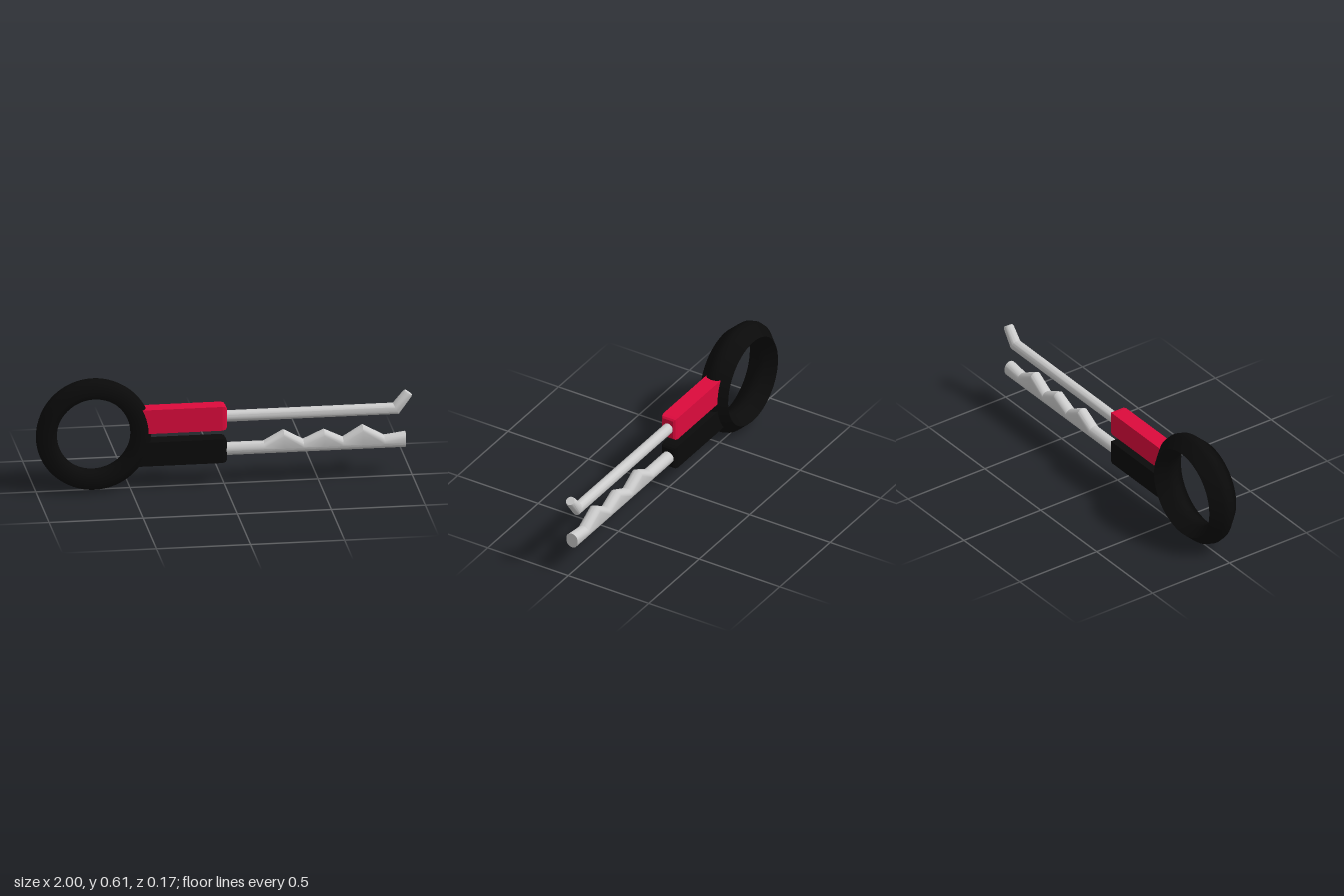
import * as THREE from 'three';
import { toCreasedNormals } from 'three/addons/utils/BufferGeometryUtils.js';

const material = (color) => new THREE.MeshStandardMaterial({ color });

// Loft of upright stadium sections; each station is [bottomX, bottomY, topX, topY, radius]
function loftRod(stations, sides = 24) {
  const pos = [];
  const index = [];
  const n = stations.length;
  for (const [bx, by, tx, ty, r] of stations) {
    const bottom = new THREE.Vector3(bx, by, 0);
    const top = new THREE.Vector3(tx, ty, 0);
    const up = top.clone().sub(bottom);
    const half = up.length() / 2;
    up.normalize();
    const mid = bottom.add(top).multiplyScalar(0.5);
    const cap = Math.min(r, half);
    for (let j = 0; j < sides; j++) {
      const a = ((j + 0.5) / sides) * Math.PI * 2;
      const c = Math.cos(a);
      const h = c * cap + Math.sign(c) * (half - cap);
      pos.push(mid.x + up.x * h, mid.y + up.y * h, r * Math.sin(a));
    }
  }
  for (let i = 0; i < n - 1; i++) {
    for (let j = 0; j < sides; j++) {
      const k = (j + 1) % sides;
      const a = i * sides + j, b = i * sides + k;
      index.push(a, b, b + sides, a, b + sides, a + sides);
    }
  }
  // Flat end caps
  const last = (n - 1) * sides;
  for (let j = 1; j < sides - 1; j++) {
    index.push(0, j + 1, j, last, last + j, last + j + 1);
  }
  const geo = new THREE.BufferGeometry();
  geo.setAttribute('position', new THREE.Float32BufferAttribute(pos, 3));
  geo.setIndex(index);
  return toCreasedNormals(geo, 0.42);
}

// Square grip running along x with chamfered ends
function grip(x0, x1, y0, y1, halfDepth) {
  const bevel = 0.013, bevelLength = 0.025;
  const w = halfDepth - bevel, h = (y1 - y0) / 2 - bevel;
  const shape = new THREE.Shape([
    new THREE.Vector2(-w, -h), new THREE.Vector2(w, -h),
    new THREE.Vector2(w, h), new THREE.Vector2(-w, h),
  ]);
  const geo = new THREE.ExtrudeGeometry(shape, {
    depth: x1 - x0 - 2 * bevelLength,
    bevelSize: bevel, bevelThickness: bevelLength, bevelSegments: 2,
  });
  geo.rotateY(Math.PI / 2);
  geo.translate(x0 + bevelLength, (y0 + y1) / 2, 0);
  return geo;
}

export function createModel() {
  const model = new THREE.Group();
  const add = (name, geo, color) => {
    const mesh = new THREE.Mesh(geo, material(color));
    mesh.name = name;
    model.add(mesh);
    return mesh;
  };

  // Finger ring with a faceted section, turned to face the front
  const profile = [
    [0.247, -0.0875], [0.3, -0.03], [0.307, 0], [0.3, 0.03], [0.247, 0.0875],
    [0.202, 0.03], [0.195, 0], [0.202, -0.03], [0.247, -0.0875],
  ].map(([r, z]) => new THREE.Vector2(r, z));
  const ring = add('fingerRing', new THREE.LatheGeometry(profile, 64), 0x0a0a0a);
  ring.rotation.x = Math.PI / 2;
  ring.position.set(-0.693, 0.309, 0);

  // Grips
  add('upperGrip', grip(-0.47, 0.01, 0.31, 0.442, 0.045), 0xdc0a3c);
  add('lowerGrip', grip(-0.49, 0.01, 0.13, 0.262, 0.045), 0x0a0a0a);

  // Upper rod with its mitred, upturned tip
  add('hookedRod', loftRod([
    [-0.02, 0.345, -0.02, 0.406, 0.029],
    [0.928, 0.345, 0.897, 0.406, 0.029],
    [0.994, 0.436, 0.949, 0.467, 0.028],
    [0.999, 0.447, 0.959, 0.475, 0.024],
  ]), 0xcccccc);

  // Lower rod with teeth raised along its top: [x, top height]
  const teeth = [
    [-0.02, 0.229], [0.21, 0.229], [0.315, 0.287], [0.42, 0.229], [0.53, 0.279],
    [0.63, 0.231], [0.735, 0.295], [0.85, 0.231], [0.963, 0.246],
  ];
  add('toothedRod', loftRod(teeth.map(([x, top]) => [x, 0.16, x, top, 0.034])), 0xcccccc);

  return model;
}
